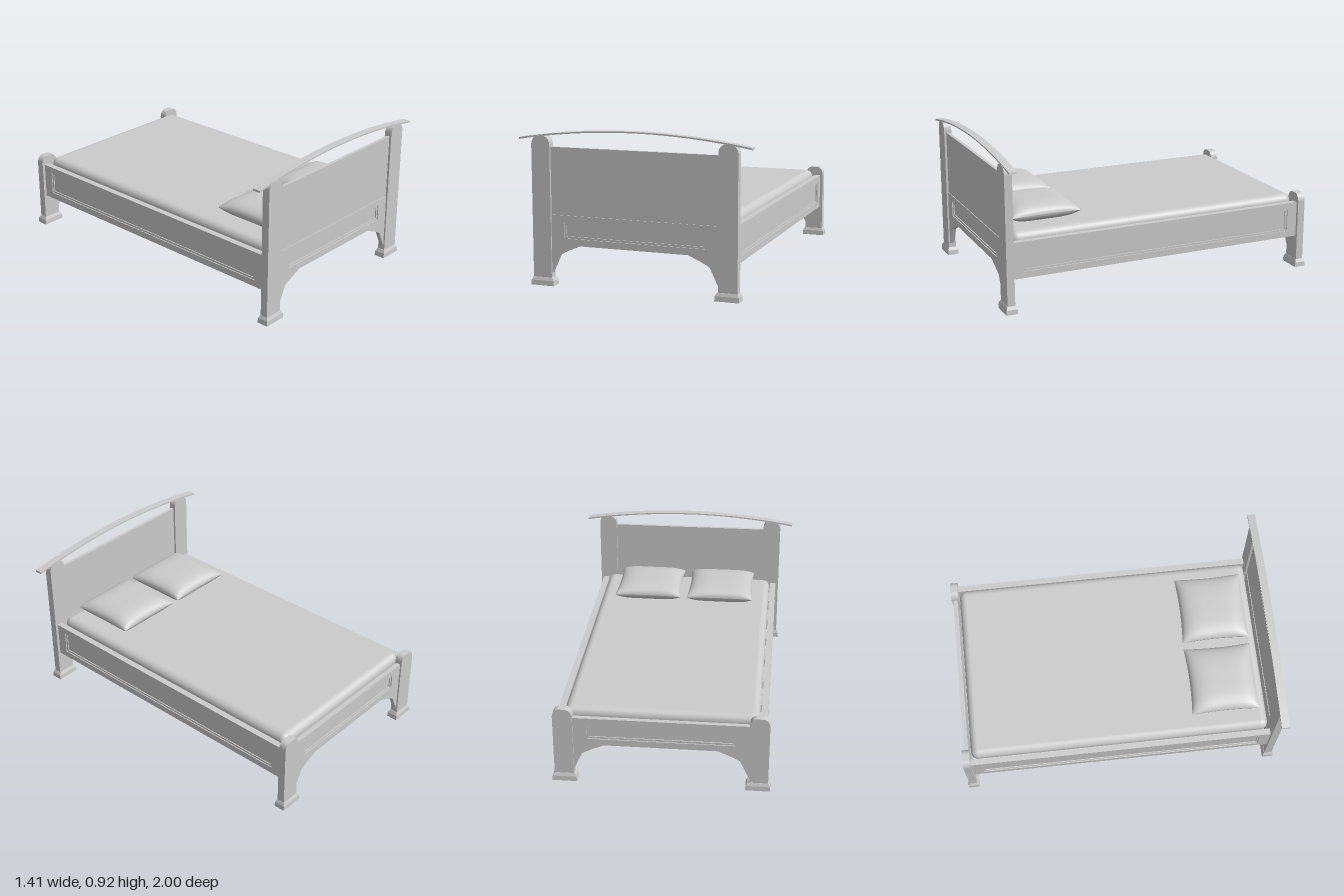
import * as THREE from 'three';
import { RoundedBoxGeometry } from 'three/addons/geometries/RoundedBoxGeometry.js';

const material = new THREE.MeshStandardMaterial({ color: 0xcccccc });

function add(parent, name, geometry, x = 0, y = 0, z = 0) {
  const mesh = new THREE.Mesh(geometry, material);
  mesh.name = name;
  mesh.position.set(x, y, z);
  parent.add(mesh);
  return mesh;
}

const box = (w, h, d) => new THREE.BoxGeometry(w, h, d);
const outline = (points) => new THREE.Shape(points.map(([x, y]) => new THREE.Vector2(x, y)));

// Extrusion centred on z = 0
function slab(shape, depth) {
  const g = new THREE.ExtrudeGeometry(shape, { depth, bevelEnabled: false, curveSegments: 24 });
  return g.translate(0, 0, -depth / 2);
}

function rect(hw, y0, y1) {
  return [[-hw, y0], [hw, y0], [hw, y1], [-hw, y1]];
}

// Board facing +z with a stepped, recessed panel on its outer side
function panelledBoard(parent, name, points, hw, y0, y1, depth) {
  const shape = outline(points);
  shape.holes.push(outline(rect(hw, y0, y1).reverse()));
  add(parent, name, slab(shape, depth));
  const step = 0.006;
  const lip = outline(rect(hw, y0, y1));
  lip.holes.push(outline(rect(hw - 0.012, y0 + 0.012, y1 - 0.012).reverse()));
  add(parent, name + 'Moulding', slab(lip, depth - step), 0, 0, -step / 2);
  add(parent, name + 'Panel', box(2 * hw, y1 - y0, depth - 2 * step), 0, (y0 + y1) / 2, -step);
}

// Flared foot block, narrower at the top
function footGeometry() {
  const g = new THREE.BoxGeometry(0.145, 0.048, 0.07, 1, 2, 1).toNonIndexed();
  const p = g.attributes.position;
  for (let i = 0; i < p.count; i++) {
    const y = p.getY(i);
    if (y > 0.01) p.setXYZ(i, p.getX(i) * 0.83, y, p.getZ(i) * 0.72);
    else if (y > -0.01) p.setXYZ(i, p.getX(i) * 0.975, y + 0.005, p.getZ(i) * 0.95);
  }
  g.computeVertexNormals();
  return g;
}

// Post with a rounded top
function postGeometry(top) {
  const s = new THREE.Shape();
  s.moveTo(-0.0575, 0.04);
  s.lineTo(0.0575, 0.04);
  s.lineTo(0.0575, top - 0.055);
  s.bezierCurveTo(0.0575, top - 0.015, 0.035, top, 0.015, top);
  s.lineTo(-0.015, top);
  s.bezierCurveTo(-0.035, top, -0.0575, top - 0.015, -0.0575, top - 0.055);
  return slab(s, 0.047);
}

// Two posts and the shaped lower board shared by both ends of the bed
function bedEnd(name, postTop) {
  const group = new THREE.Group();
  group.name = name;
  for (const side of [-1, 1]) {
    add(group, 'post', postGeometry(postTop), side * 0.567, 0, 0);
    add(group, 'foot', footGeometry(), side * 0.565, 0.024, 0);
  }
  const right = [[0.33, 0.245], [0.4, 0.215], [0.458, 0.185], [0.512, 0.07], [0.512, 0.42]];
  const left = right.map(([x, y]) => [-x, y]).reverse();
  panelledBoard(group, 'lowerBoard', [...right, ...left], 0.43, 0.285, 0.38, 0.028);
  return group;
}

// Plump cushion with pinched corners and bowed-in sides
function pillowGeometry(w, h, d) {
  const n = 24, pos = [], index = [];
  for (const face of [1, -1]) {
    const base = pos.length / 3;
    for (let j = 0; j <= n; j++) for (let i = 0; i <= n; i++) {
      const u = -Math.cos(Math.PI * i / n), v = -Math.cos(Math.PI * j / n);
      const puff = Math.pow((1 - u ** 4) * (1 - v ** 4), 0.5);
      pos.push(
        u * w / 2 * (1 - 0.05 * (1 - v * v)),
        face * puff * h / 2,
        v * d / 2 * (1 - 0.05 * (1 - u * u)));
    }
    for (let j = 0; j < n; j++) for (let i = 0; i < n; i++) {
      const a = base + j * (n + 1) + i, b = a + 1, c = a + n + 1, e = c + 1;
      if (face > 0) index.push(a, c, b, b, c, e);
      else index.push(a, b, c, b, e, c);
    }
  }
  const g = new THREE.BufferGeometry();
  g.setAttribute('position', new THREE.Float32BufferAttribute(pos, 3));
  g.setIndex(index);
  g.computeVertexNormals();
  return g;
}

export function createModel() {
  const bed = new THREE.Group();
  bed.name = 'bed';

  // Headboard with its tall panel and arched cap
  const head = bedEnd('headboard', 0.877);
  head.position.z = 0.965;
  add(head, 'upperPanel', box(1.024, 0.4, 0.02), 0, 0.615, 0);
  const cap = new THREE.Shape();
  cap.moveTo(-0.705, 0.853);
  cap.quadraticCurveTo(0, 0.977, 0.705, 0.853);
  cap.lineTo(0.703, 0.864);
  cap.quadraticCurveTo(0, 0.982, -0.703, 0.864);
  add(head, 'archedCap', slab(cap, 0.048), 0, 0, -0.002);
  bed.add(head);

  // Footboard
  const foot = bedEnd('footboard', 0.477);
  foot.position.z = -0.965;
  foot.rotation.y = Math.PI;
  bed.add(foot);

  // Panelled side rails
  for (const side of [-1, 1]) {
    const rail = new THREE.Group();
    rail.name = 'sideRail';
    panelledBoard(rail, 'railBoard', rect(0.942, 0.2, 0.42), 0.876, 0.24, 0.382, 0.038);
    rail.position.x = side * 0.588;
    rail.rotation.y = side * Math.PI / 2;
    bed.add(rail);
  }

  // Slats under the mattress
  for (let i = -3; i <= 3; i++) add(bed, 'slat', box(1.14, 0.05, 0.14), 0, 0.335, i * 0.28);

  add(bed, 'mattress', new RoundedBoxGeometry(1.126, 0.105, 1.865, 5, 0.045), 0, 0.408, -0.002);

  // Pillows
  for (const side of [-1, 1]) {
    add(bed, 'pillow', pillowGeometry(0.436, 0.115, 0.425), side * 0.24, 0.513, 0.673);
  }
  return bed;
}
